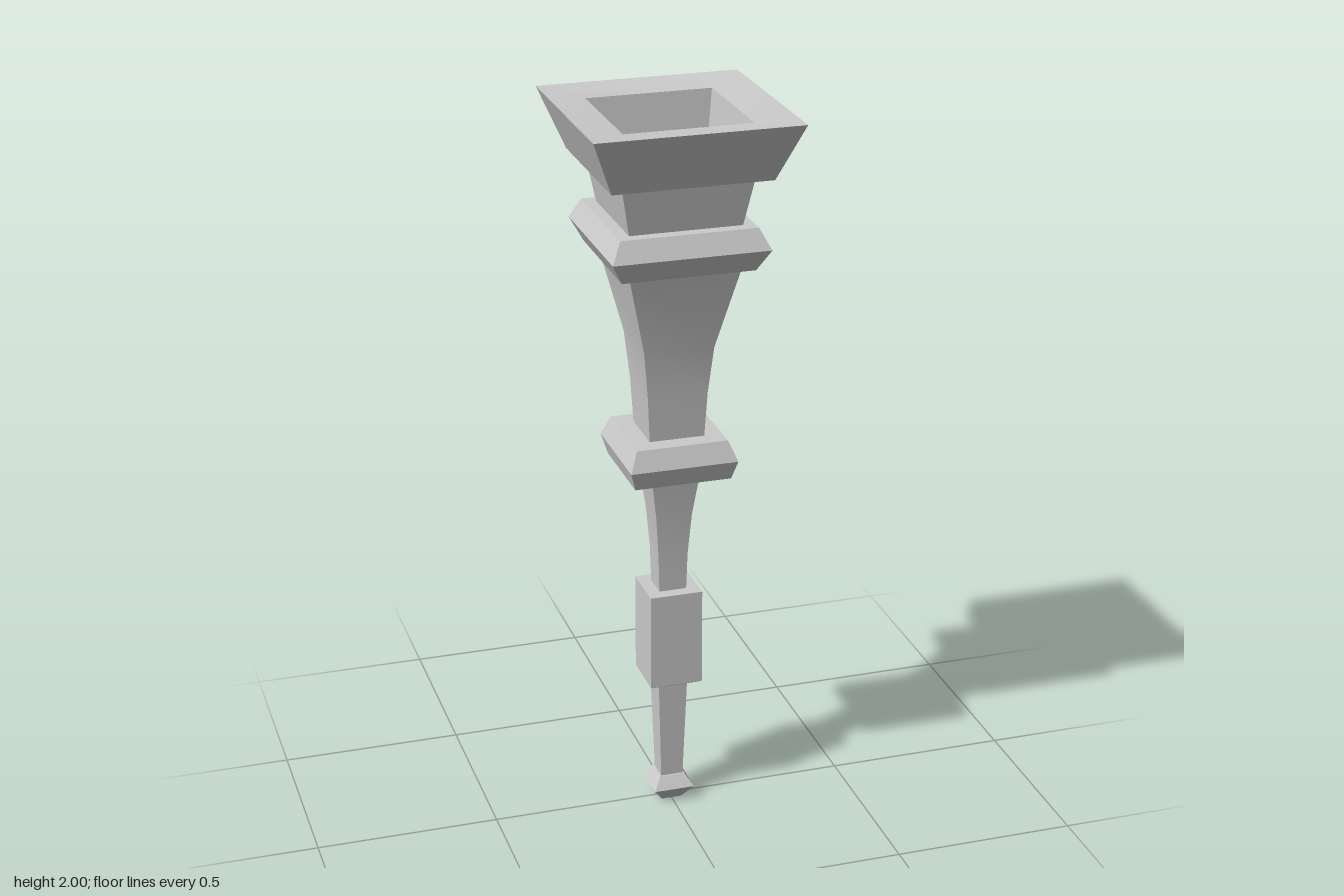
import * as THREE from 'three';
import { toCreasedNormals } from 'three/addons/utils/BufferGeometryUtils.js';

const material = new THREE.MeshStandardMaterial({ color: 0xcccccc });

// Square-section part from a profile of [half width, height], listed bottom to top
function squarePart(name, profile) {
  const points = profile.map(([half, y]) => new THREE.Vector2(half * Math.SQRT2, y));
  const lathe = new THREE.LatheGeometry(points, 4, Math.PI / 4);
  const mesh = new THREE.Mesh(toCreasedNormals(lathe, 0.35), material);
  mesh.name = name;
  return mesh;
}

// Closes a profile to the axis at both ends
const capped = (profile) => [
  [0, profile[0][1]], ...profile, [0, profile[profile.length - 1][1]],
];

export function createModel() {
  const torch = new THREE.Group();
  torch.name = 'torch';

  torch.add(
    // Handle
    squarePart('pommel', capped([[0.028, 0], [0.057, 0.042], [0.035, 0.077]])),
    squarePart('lowerShaft', [[0.031, 0.07], [0.041, 0.38]]),
    squarePart('grip', capped([[0.06, 0.374], [0.073, 0.382], [0.073, 0.655]])),
    squarePart('upperShaft', [[0.038, 0.65], [0.041, 0.76], [0.05, 0.88], [0.068, 1.01]]),

    // Collars and flared body
    squarePart('lowerCollar', capped([[0.132, 1.008], [0.147, 1.06], [0.125, 1.115]])),
    squarePart('flaredBody', [[0.075, 1.11], [0.082, 1.24], [0.095, 1.37], [0.151, 1.605]]),
    squarePart('upperCollar', capped([[0.178, 1.6], [0.21, 1.66], [0.183, 1.715]])),
    squarePart('neck', [[0.15, 1.71], [0.176, 1.85]]),

    // Hollow cup: outside, rim dipping inward, recess walls and floor
    squarePart('cup', [
      [0, 1.846], [0.213, 1.846], [0.275, 2], [0.171, 1.986], [0.159, 1.88], [0, 1.88],
    ]),
  );
  return torch;
}
